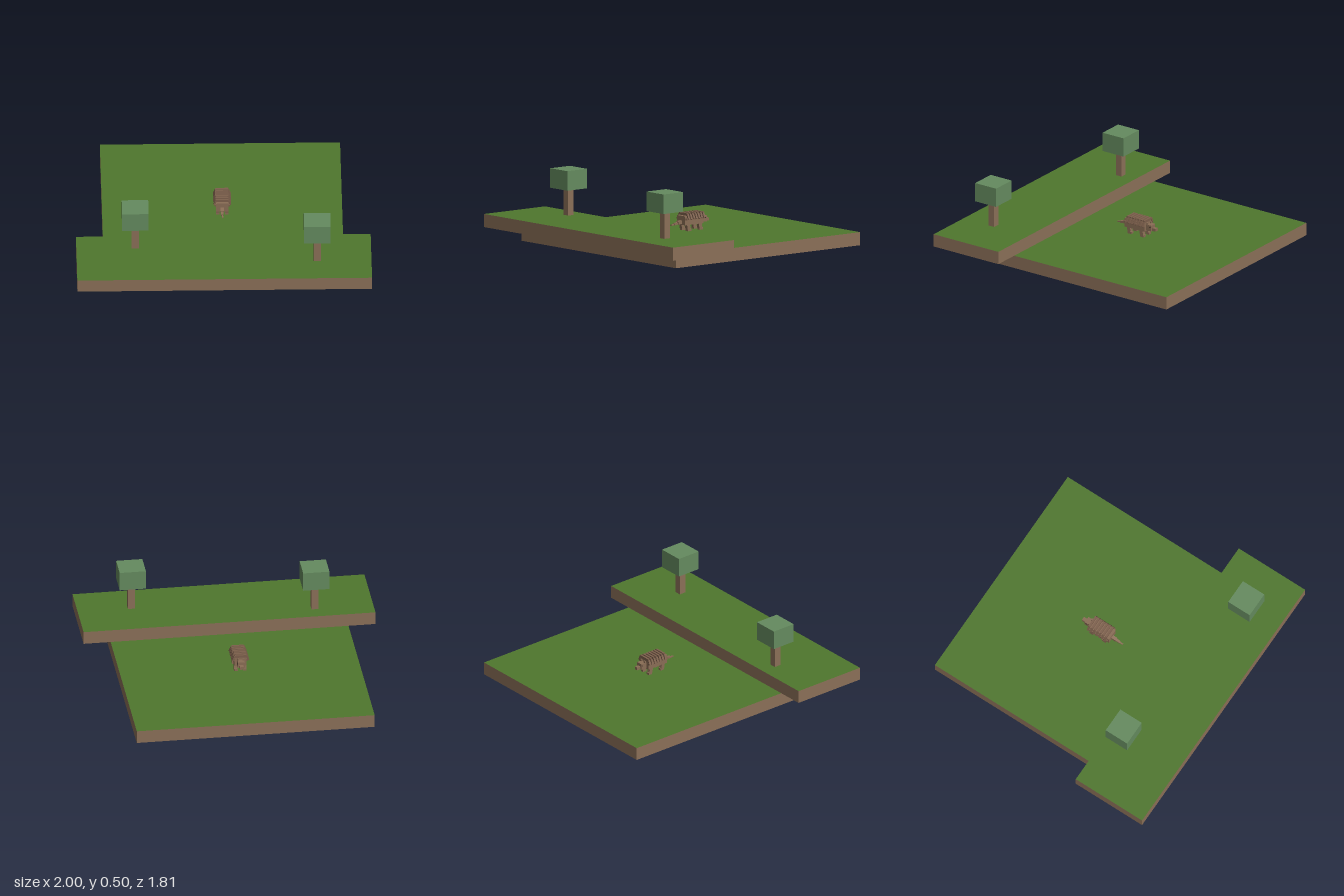
import * as THREE from 'three';

const mat = (name, color) => {
  const m = new THREE.MeshStandardMaterial({ color });
  m.name = name;
  return m;
};

export function createModel() {
  const grass = mat('grass green', 0x4f772d);
  const earth = mat('earth brown', 0x8b7058);
  const leaf = mat('leaf green', 0x658b5f);
  const hide = mat('hide brown', 0x8a6d55);
  const shell = mat('shell brown', 0x7d604c);
  const dark = mat('eye dark', 0x2a211c);

  const root = new THREE.Group();
  root.name = 'meadowScene';

  // Box given by size and centre
  const box = (parent, name, material, [w, h, d], [x, y, z], rotX = 0, rotZ = 0) => {
    const m = new THREE.Mesh(new THREE.BoxGeometry(w, h, d), material);
    m.name = name;
    m.position.set(x, y, z);
    m.rotation.set(rotX, 0, rotZ);
    parent.add(m);
    return m;
  };
  const group = (parent, name) => {
    const g = new THREE.Group();
    g.name = name;
    parent.add(g);
    return g;
  };

  // Two earth slabs, grassy only on the top face
  const slab = [earth, earth, grass, earth, earth, earth];
  box(root, 'lowerGround', slab, [1.63, 0.09, 1.63], [0, 0.045, -0.09]);
  box(root, 'upperGround', slab, [2, 0.09, 0.54], [0, 0.135, 0.635]);

  // Trees
  for (const [x, z] of [[-0.6, 0.49], [0.632, 0.67]]) {
    const tree = group(root, 'tree');
    box(tree, 'trunk', earth, [0.048, 0.19, 0.048], [x, 0.273, z]);
    box(tree, 'crown', leaf, [0.18, 0.134, 0.174], [x, 0.431, z]);
  }

  // Armoured animal, head towards -z
  const animal = group(root, 'animal');
  box(animal, 'body', hide, [0.084, 0.062, 0.165], [0, 0.165, -0.084]);

  // Shell bands: a raised top plate with two sloping side plates
  for (let i = 0; i < 7; i++) {
    const z = -0.026 - i * 0.0228;
    const band = group(animal, 'shellBand');
    box(band, 'bandTop', shell, [0.084, 0.017, 0.014], [0, 0.206, z]);
    for (const s of [-1, 1])
      box(band, 'bandSide', shell, [0.01, 0.036, 0.014], [s * 0.049, 0.19, z], 0, s * 0.4);
  }
  // Rims along the lower edge of the shell
  for (const s of [-1, 1])
    box(animal, 'shellRim', shell, [0.012, 0.012, 0.16], [s * 0.047, 0.175, -0.088]);

  // Head, snout, ears and eyes
  const head = group(animal, 'head');
  box(head, 'skull', hide, [0.046, 0.042, 0.046], [0, 0.161, -0.188]);
  box(head, 'snout', hide, [0.026, 0.02, 0.03], [0, 0.152, -0.225]);
  for (const s of [-1, 1]) {
    box(head, 'ear', hide, [0.012, 0.02, 0.008], [s * 0.018, 0.186, -0.178]);
    box(head, 'eye', dark, [0.002, 0.006, 0.006], [s * 0.0235, 0.168, -0.2]);
  }

  // Legs with feet pointing forward
  for (const s of [-1, 1])
    for (const z of [-0.036, -0.14]) {
      const leg = group(animal, 'leg');
      box(leg, 'upperLeg', hide, [0.024, 0.04, 0.026], [s * 0.03, 0.125, z], 0.15);
      box(leg, 'foot', hide, [0.024, 0.015, 0.03], [s * 0.03, 0.0985, z - 0.007]);
    }

  // Tapering tail
  box(animal, 'tailBase', hide, [0.024, 0.022, 0.036], [0, 0.151, 0.013], 0.15);
  box(animal, 'tailMiddle', hide, [0.017, 0.014, 0.036], [0, 0.145, 0.042], 0.15);
  box(animal, 'tailTip', hide, [0.01, 0.008, 0.032], [0, 0.14, 0.069], 0.1);

  return root;
}
